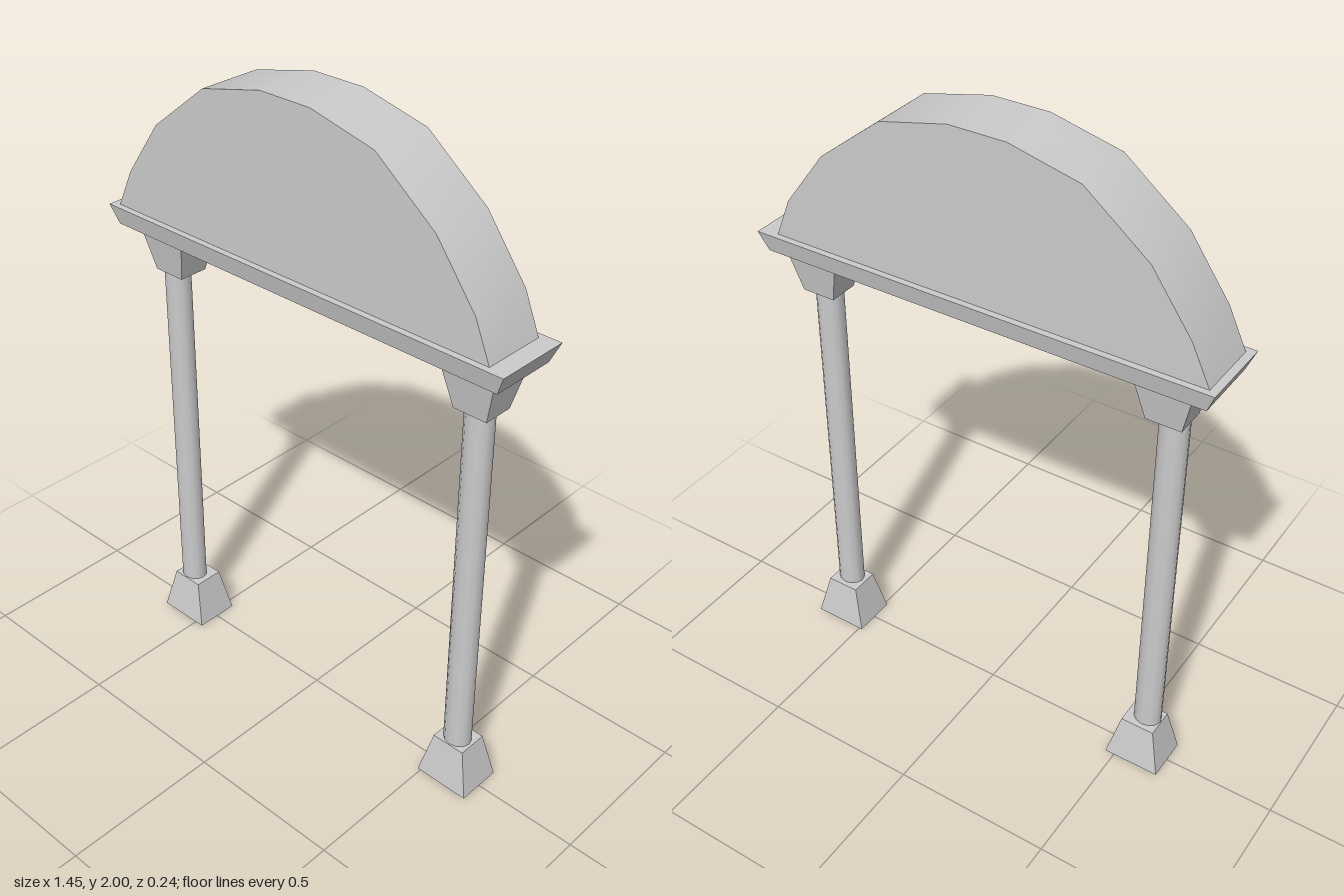
import * as THREE from 'three';
import { toCreasedNormals } from 'three/addons/utils/BufferGeometryUtils.js';

const material = new THREE.MeshStandardMaterial({ color: 0xcccccc });

function addMesh(parent, name, geometry, x = 0, y = 0, z = 0) {
  const mesh = new THREE.Mesh(geometry, material);
  mesh.name = name;
  mesh.position.set(x, y, z);
  parent.add(mesh);
  return mesh;
}

// Box standing on y = 0 whose bottom and top have different half sizes [x, z]
function taperedBlock(height, bottom, top) {
  const geometry = new THREE.BoxGeometry(2, height, 2).translate(0, height / 2, 0);
  const p = geometry.attributes.position;
  for (let i = 0; i < p.count; i++) {
    const [hx, hz] = p.getY(i) > height / 2 ? top : bottom;
    p.setX(i, p.getX(i) * hx);
    p.setZ(i, p.getZ(i) * hz);
  }
  geometry.computeVertexNormals();
  return geometry;
}

// Column: flared foot, slim round shaft, flared capital
function createColumn(name, x, shaftX) {
  const column = new THREE.Group();
  column.name = name;
  const narrow = [0.054, 0.048];
  const wide = [0.089, 0.072];
  addMesh(column, 'foot', taperedBlock(0.145, wide, narrow), x);
  const shaft = new THREE.CylinderGeometry(0.044, 0.044, 1.155, 12, 1).scale(1, 1, 0.87);
  addMesh(column, 'shaft', shaft, shaftX, 0.7225, 0.006);
  addMesh(column, 'capital', taperedBlock(0.14, narrow, wide), x, 1.3);
  return column;
}

export function createModel() {
  const model = new THREE.Group();
  model.name = 'archway';

  model.add(createColumn('leftColumn', 0.579, 0.581));
  model.add(createColumn('rightColumn', -0.559, -0.567));

  // Beam with sloping sides, resting on both capitals
  addMesh(model, 'beam', taperedBlock(0.06, [0.7, 0.106], [0.725, 0.12]), 0, 1.44);

  // Faceted arch panel with a smoothly shaded rim
  const outline = [
    [-0.7, 1.5], [0.667, 1.5], [0.617, 1.62], [0.485, 1.795], [0.285, 1.95], [0.07, 2],
    [-0.105, 2], [-0.32, 1.95], [-0.517, 1.795], [-0.642, 1.62],
  ];
  const shape = new THREE.Shape(outline.map(([x, y]) => new THREE.Vector2(x, y)));
  const panel = new THREE.ExtrudeGeometry(shape, { depth: 0.2, bevelEnabled: false });
  addMesh(model, 'archPanel', toCreasedNormals(panel.translate(0, 0, -0.1), 0.8));

  return model;
}
